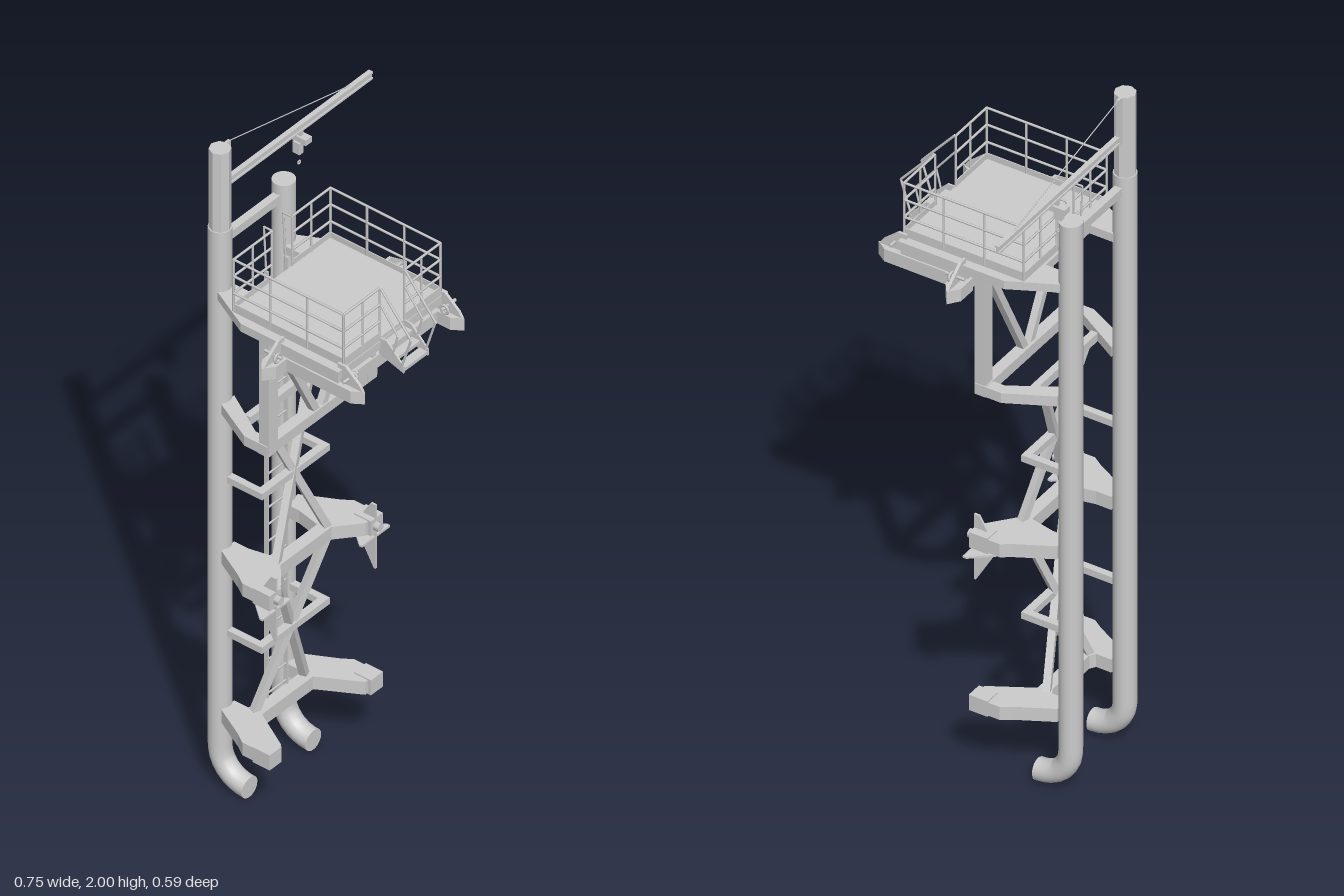
import * as THREE from 'three';

const CX = -0.095; // symmetry plane of the tower
const TZ = -0.26; // depth of the two main tubes
const V = (x, y, z) => new THREE.Vector3(x, y, z);

export function createModel() {
  const root = new THREE.Group();
  const mat = new THREE.MeshStandardMaterial({ color: 0xcccccc, side: THREE.DoubleSide });
  const flat = new THREE.MeshStandardMaterial({ color: 0xcccccc, flatShading: true, side: THREE.DoubleSide });

  const add = (name, geo, m = mat) => {
    const mesh = new THREE.Mesh(geo, m);
    mesh.name = name;
    root.add(mesh);
    return mesh;
  };
  // all helpers measure x from the symmetry plane
  const box = (name, x0, x1, y0, y1, z0, z1) => {
    const m = add(name, new THREE.BoxGeometry(Math.abs(x1 - x0), y1 - y0, z1 - z0));
    m.position.set(CX + (x0 + x1) / 2, (y0 + y1) / 2, (z0 + z1) / 2);
    return m;
  };
  const beam = (name, a, b, w, h = w) => {
    const m = add(name, new THREE.BoxGeometry(w, h, a.distanceTo(b)));
    m.position.copy(a).add(b).multiplyScalar(0.5).setX(CX + (a.x + b.x) / 2);
    m.lookAt(CX + b.x, b.y, b.z);
    return m;
  };
  const rod = (name, a, b, r) => {
    const geo = new THREE.CylinderGeometry(r, r, a.distanceTo(b), 6);
    geo.rotateX(Math.PI / 2);
    const m = add(name, geo);
    m.position.copy(a).add(b).multiplyScalar(0.5).setX(CX + (a.x + b.x) / 2);
    m.lookAt(CX + b.x, b.y, b.z);
  };
  const rods = (name, pts, r) => pts.slice(1).forEach((p, i) => rod(name, pts[i], p, r));
  // horizontal plate from plan points [x, z]
  const plate = (name, pts, y0, y1) => {
    const shape = new THREE.Shape(pts.map(([x, z]) => new THREE.Vector2(x, -z)));
    const geo = new THREE.ExtrudeGeometry(shape, { depth: y1 - y0, bevelEnabled: false });
    geo.rotateX(-Math.PI / 2);
    add(name, geo, flat).position.set(CX, y0, 0);
  };
  const mirrored = (half) => [...half, ...half.map(([x, z]) => [-x, z]).reverse()];
  // upright plate from points [z, y], centred at x
  const fin = (name, pts, x, t) => {
    const shape = new THREE.Shape(pts.map(([z, y]) => new THREE.Vector2(-z, y)));
    const geo = new THREE.ExtrudeGeometry(shape, { depth: t, bevelEnabled: false });
    geo.translate(0, 0, -t / 2).rotateY(Math.PI / 2);
    add(name, geo, flat).position.x = CX + x;
  };

  // main tubes, bent forward at the foot
  for (const s of [-1, 1]) {
    const path = new THREE.CurvePath();
    path.add(new THREE.LineCurve3(V(0, 1.755, TZ), V(0, 0.13, TZ)));
    path.add(new THREE.CubicBezierCurve3(V(0, 0.13, TZ), V(0, 0.075, TZ), V(0, 0.036, -0.22), V(0, 0.036, -0.165)));
    const pts = [V(0, 1.755, TZ), V(0, 0.9, TZ), ...path.curves[1].getPoints(10)];
    const line = new THREE.CurvePath();
    pts.slice(1).forEach((p, i) => line.add(new THREE.LineCurve3(pts[i], p)));
    add('mainTube', new THREE.TubeGeometry(line, 90, 0.031, 20)).position.x = CX + s * 0.125;
    const top = add('tubeCap', new THREE.CircleGeometry(0.031, 20).rotateX(-Math.PI / 2));
    top.position.set(CX + s * 0.125, 1.755, TZ);
    const end = add('tubeEnd', new THREE.CircleGeometry(0.031, 20));
    end.position.set(CX + s * 0.125, 0.036, -0.165);
  }
  box('topTie', -0.1, 0.1, 1.7, 1.725, -0.27, -0.248);

  // crane mast, jib, stay and hoist
  add('craneMast', new THREE.CylinderGeometry(0.029, 0.029, 0.25, 8), flat).position.set(CX - 0.125, 1.875, TZ);
  box('jibBracket', -0.1, -0.083, 1.86, 2.0, -0.268, -0.26);
  box('jibTop', -0.085, 0.47, 1.882, 1.888, -0.27, -0.256);
  box('jibWeb', -0.085, 0.47, 1.87, 1.882, -0.266, -0.26);
  box('jibFoot', -0.085, 0.47, 1.865, 1.87, -0.27, -0.256);
  rod('jibStay', V(-0.085, 1.997, -0.264), V(0.4, 1.886, -0.264), 0.0015);
  box('hoistTrolley', 0.183, 0.208, 1.833, 1.85, -0.295, -0.237);
  box('hoistHanger', 0.19, 0.2, 1.84, 1.867, -0.27, -0.258);
  box('hoistBody', 0.177, 0.193, 1.8, 1.835, -0.275, -0.253);
  add('hook', new THREE.TorusGeometry(0.005, 0.002, 6, 10)).position.set(CX + 0.19, 1.766, -0.264);

  // lower and middle frames reaching forward on both sides
  for (const [y, mid] of [[0.22, -0.145], [0.72, -0.085]]) {
    plate('frameLevel', mirrored([
      [0, mid], [0.1, mid], [0.165, -0.03], [0.22, -0.03], [0.22, -0.11], [0.2, -0.14],
      [0.15, -0.235], [0.1, -0.235], [0.1, -0.19], [0.085, mid - 0.035], [0, mid - 0.035],
    ]), y, y + 0.04);
    for (const s of [-1, 1]) box('frameEnd', s * 0.175, s * 0.222, y - 0.003, y + 0.044, -0.075, -0.02);
  }
  // guide fins on the middle frame
  for (const s of [-1, 1]) {
    fin('guideFin', [[-0.02, 0.805], [-0.035, 0.805], [-0.08, 0.73], [-0.08, 0.7], [-0.025, 0.605], [-0.02, 0.605]], s * 0.195, 0.006);
    plate('guideFin', [[s * 0.25, -0.02], [s * 0.25, -0.03], [s * 0.2, -0.09], [s * 0.19, -0.09],
      [s * 0.14, -0.03], [s * 0.14, -0.02]], 0.702, 0.708);
    rod('guidePin', V(s * 0.195, 0.74, -0.06), V(s * 0.195, 0.74, -0.005), 0.013);
  }

  // upper frame with posts to the platform
  box('upperFrontBeam', -0.215, 0.215, 1.19, 1.222, -0.065, -0.033);
  box('upperCrossBeam', -0.14, 0.14, 1.19, 1.215, -0.17, -0.15);
  for (const s of [-1, 1]) {
    plate('upperArm', [[s * 0.18, -0.035], [s * 0.213, -0.035], [s * 0.213, -0.11],
      [s * 0.15, -0.235], [s * 0.1, -0.235], [s * 0.18, -0.1]], 1.19, 1.22);
    box('platformPost', s * 0.178, s * 0.212, 1.2, 1.55, -0.062, -0.03);
    beam('vBrace', V(s * 0.01, 1.21, -0.047), V(s * 0.17, 1.53, -0.047), 0.02);
  }

  // crossed braces and the U-shaped ties at their crossings
  const bays = [[1.2, -0.158, 0.755, -0.1, 0.975], [0.73, -0.1, 0.25, -0.172, 0.492]];
  for (const [yt, zt, yb, zb, yTie] of bays) {
    for (const s of [-1, 1]) {
      beam('crossBrace', V(-s * 0.1, yt, zt), V(s * 0.1, yb, zb), 0.02);
      box('tieArm', s * 0.113, s * 0.133, yTie - 0.01, yTie + 0.01, -0.245, -0.118);
    }
    box('tieFront', -0.133, 0.133, yTie - 0.01, yTie + 0.01, -0.14, -0.118);
  }

  // ladder
  for (const s of [-1, 1]) {
    box('ladderRail', s * 0.036, s * 0.041, 0.24, 1.6, -0.187, -0.175);
    rods('ladderGrabRail', [V(s * 0.038, 1.58, -0.182), V(s * 0.038, 1.735, -0.19), V(s * 0.038, 1.735, -0.165)], 0.003);
  }
  for (let y = 0.27; y < 1.58; y += 0.053) rod('ladderRung', V(-0.038, y, -0.181), V(0.038, y, -0.181), 0.003);

  // platform deck, its arms to the tubes and the beams below
  plate('deck', mirrored([[0, -0.17], [0.1, -0.17], [0.1, -0.25], [0.15, -0.25], [0.215, -0.12], [0.215, 0.195], [0, 0.195]]), 1.545, 1.57);
  box('deckPlate', -0.19, 0.19, 1.57, 1.58, -0.163, 0.193);
  for (const z of [0.005, 0.095, 0.178]) box('underBeam', -0.215, 0.215, 1.492, 1.53, z - 0.016, z + 0.016);
  for (const s of [-1, 1]) {
    box('sideBeam', s * 0.18, s * 0.215, 1.492, 1.53, -0.01, 0.195);
    box('sideSpacer', s * 0.185, s * 0.21, 1.53, 1.546, -0.01, 0.19);
    box('deckJoist', s * 0.06, s * 0.075, 1.515, 1.546, -0.165, 0.19);
    beam('armBeam', V(s * 0.125, 1.55, -0.245), V(s * 0.195, 1.55, -0.03), 0.03, 0.03);

    // pointed fenders with lifting plates and shackles
    plate('sideFender', [[s * 0.2, -0.018], [s * 0.255, -0.018], [s * 0.285, 0.005], [s * 0.255, 0.028], [s * 0.2, 0.028]], 1.492, 1.53);
    plate('frontFender', [[s * 0.175, 0.19], [s * 0.175, 0.235], [s * 0.195, 0.265], [s * 0.215, 0.235], [s * 0.215, 0.19]], 1.492, 1.53);
    fin('frontLug', [[0.18, 1.53], [0.26, 1.53], [0.25, 1.545], [0.205, 1.583], [0.18, 1.583]], s * 0.195, 0.008);
    const lug = new THREE.Shape([[0.2, 1.53], [0.28, 1.53], [0.268, 1.545], [0.22, 1.583], [0.2, 1.583]]
      .map(([x, y]) => new THREE.Vector2(s * x, y)));
    add('sideLug', new THREE.ExtrudeGeometry(lug, { depth: 0.008, bevelEnabled: false }), flat).position.set(CX, 0, 0.002);
    rod('frontShacklePin', V(s * 0.165, 1.55, 0.215), V(s * 0.22, 1.55, 0.215), 0.005);
    rod('sideShacklePin', V(s * 0.24, 1.55, -0.02), V(s * 0.24, 1.55, 0.035), 0.005);
    add('shackle', new THREE.TorusGeometry(0.012, 0.004, 6, 12).rotateY(Math.PI / 2)).position.set(CX + s * 0.178, 1.545, 0.215);
    add('shackle', new THREE.TorusGeometry(0.012, 0.004, 6, 12)).position.set(CX + s * 0.24, 1.545, 0.02);

    // guard rails: from the ladder opening round to the front opening
    for (const y of [1.63, 1.683, 1.735]) {
      rods('guardRail', [V(s * 0.04, y, -0.163), V(s * 0.19, y, -0.163), V(s * 0.19, y, 0.192),
        V(s * 0.048, y, 0.192)], 0.0035);
    }
    for (const [x, z] of [[0.04, -0.163], [0.115, -0.163], [0.19, -0.163], [0.19, -0.045], [0.19, 0.075],
      [0.19, 0.192], [0.115, 0.192], [0.048, 0.192]]) {
      rod('guardPost', V(s * x, 1.575, z), V(s * x, 1.735, z), 0.0035);
    }
    box('toeBoard', s * 0.188, s * 0.191, 1.58, 1.597, -0.163, 0.192);
    box('toeBoard', s * 0.048, s * 0.19, 1.58, 1.597, 0.19, 0.193);
    box('toeBoard', s * 0.04, s * 0.19, 1.58, 1.597, -0.165, -0.162);

    // front steps: side plates and sloping handrails
    fin('stepSide', [[0.19, 1.58], [0.215, 1.58], [0.27, 1.525], [0.27, 1.505], [0.19, 1.53]], s * 0.047, 0.005);
    rods('stepRail', [V(s * 0.048, 1.735, 0.195), V(s * 0.048, 1.62, 0.293), V(s * 0.048, 1.52, 0.262)], 0.0035);
    rods('stepRail', [V(s * 0.048, 1.683, 0.195), V(s * 0.048, 1.612, 0.25), V(s * 0.048, 1.55, 0.235)], 0.003);
  }
  for (let i = 0; i < 3; i++) {
    const z = 0.195 + i * 0.024;
    box('step', -0.045, 0.045, 1.552 - i * 0.022, 1.562 - i * 0.022, z, z + 0.026);
  }
  return root;
}
